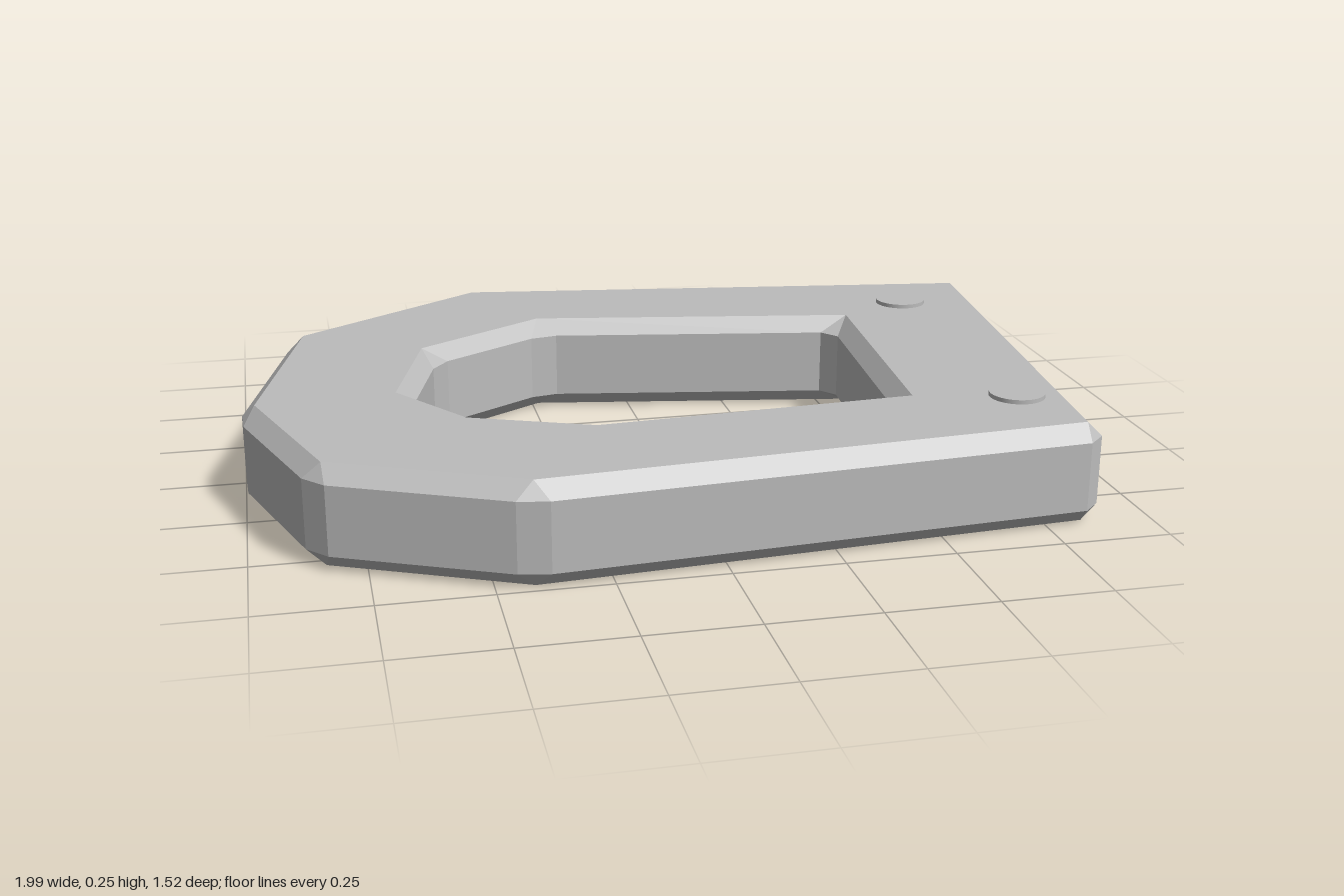
import * as THREE from 'three';

const HEIGHT = 0.235, BEVEL = 0.037;

// Corners [x, z] of the flat faces, clockwise seen from above
const outerFace = [[-0.37, -0.73], [0.96, -0.545], [0.84, 0.63], [-0.415, 0.72], [-0.835, 0.525], [-0.967, 0.125], [-0.84, -0.405]];
const innerFace = [[-0.233, -0.437], [0.575, -0.298], [0.521, 0.374], [-0.228, 0.422], [-0.505, 0.31], [-0.645, 0.1], [-0.554, -0.235]];

// Moves every edge of a loop sideways and intersects the neighbours
function offsetLoop(loop, distance) {
  const n = loop.length;
  return loop.map((p, i) => {
    const normal = (a, b) => new THREE.Vector2(b[1] - a[1], a[0] - b[0]).normalize();
    const n1 = normal(loop[(i + n - 1) % n], p), n2 = normal(p, loop[(i + 1) % n]);
    const k = distance / (1 + n1.dot(n2));
    return [p[0] + (n1.x + n2.x) * k, p[1] + (n1.y + n2.y) * k];
  });
}

// Cuts each corner into two points, a set distance along its edges
function cutCorners(loop, cut) {
  const n = loop.length;
  const toward = (p, q) => {
    const t = cut / Math.hypot(q[0] - p[0], q[1] - p[1]);
    return [p[0] + (q[0] - p[0]) * t, p[1] + (q[1] - p[1]) * t];
  };
  return loop.flatMap((p, i) => [toward(p, loop[(i + n - 1) % n]), toward(p, loop[(i + 1) % n])]);
}

// Closed band of cross-sections: outer wall, top, hole wall, underside
function frameGeometry() {
  const outerWall = cutCorners(offsetLoop(outerFace, BEVEL), BEVEL);
  const innerWall = cutCorners(offsetLoop(innerFace, -BEVEL), BEVEL);
  const outer = cutCorners(outerFace, 0), inner = cutCorners(innerFace, 0);
  const low = BEVEL, high = HEIGHT - BEVEL;
  const rings = [
    [outerWall, low], [outerWall, high], [outer, HEIGHT], [inner, HEIGHT],
    [innerWall, high], [innerWall, low], [inner, 0], [outer, 0],
  ].map(([loop, y]) => loop.map(([x, z]) => new THREE.Vector3(x, y, z)));

  const points = [];
  const addTriangle = (a, b, c) => {
    if (new THREE.Triangle(a, b, c).getArea() > 1e-7) points.push(a, b, c);
  };
  rings.forEach((ring, r) => {
    const next = rings[(r + 1) % rings.length];
    ring.forEach((a, i) => {
      const j = (i + 1) % ring.length;
      addTriangle(a, next[j], ring[j]);
      addTriangle(a, next[i], next[j]);
    });
  });
  const geometry = new THREE.BufferGeometry().setFromPoints(points);
  geometry.computeVertexNormals();
  return geometry;
}

export function createModel() {
  const group = new THREE.Group();
  group.name = 'bevelledFrame';
  const grey = new THREE.MeshStandardMaterial({ color: 0xbcbcbc });
  grey.name = 'grey';

  // Chamfered ring plate
  const frame = new THREE.Mesh(frameGeometry(), grey);
  frame.name = 'frame';
  group.add(frame);

  // Two low round studs on the straight side
  const studGeometry = new THREE.CylinderGeometry(0.065, 0.065, 0.02, 32);
  [['backStud', -0.388], ['frontStud', 0.425]].forEach(([name, z]) => {
    const stud = new THREE.Mesh(studGeometry, grey);
    stud.name = name;
    stud.position.set(0.757, HEIGHT, z);
    group.add(stud);
  });
  return group;
}
